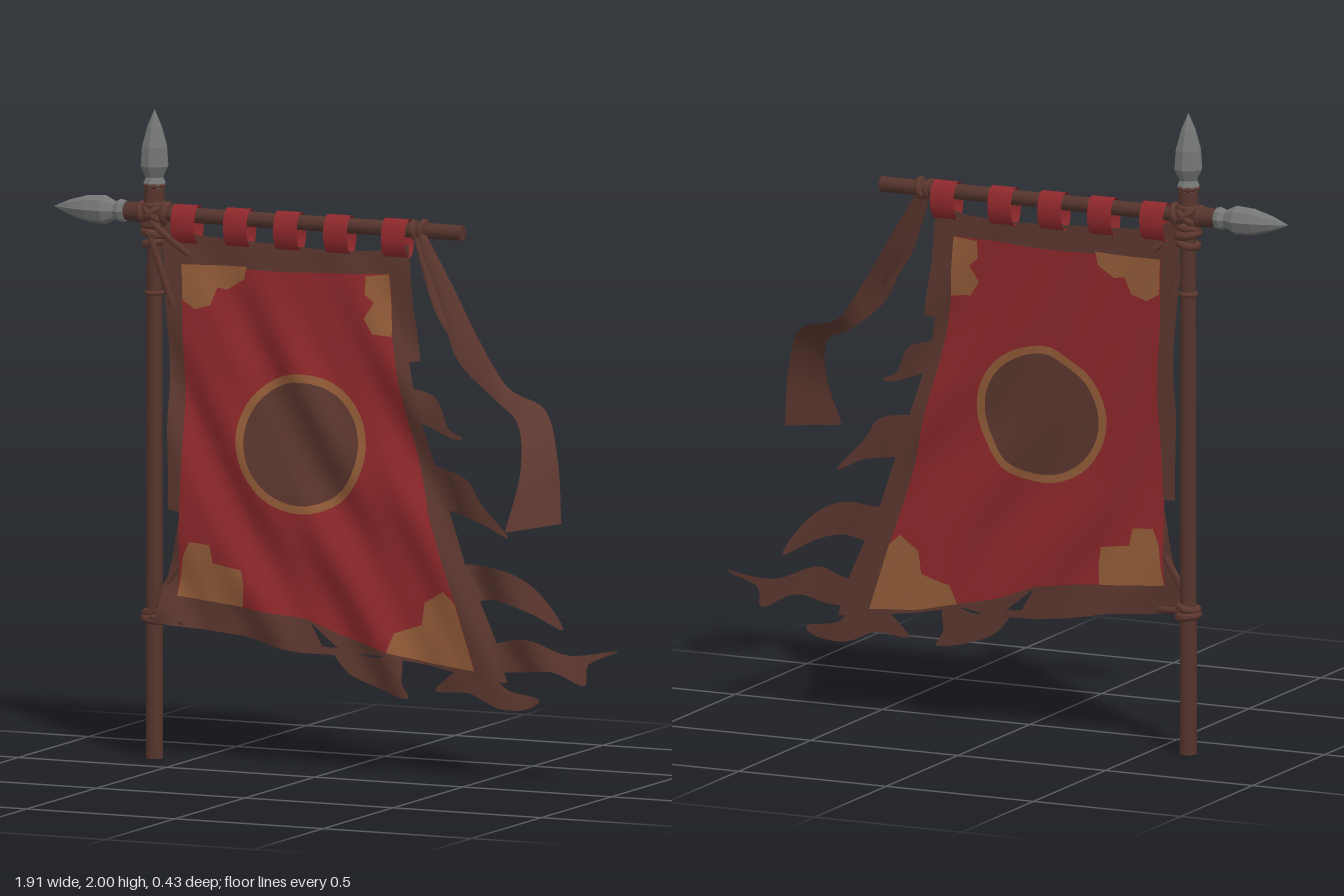
import * as THREE from 'three';
import { mergeVertices } from 'three/addons/utils/BufferGeometryUtils.js';

const mat = (name, color, side = THREE.FrontSide) => {
  const m = new THREE.MeshStandardMaterial({ color, side });
  m.name = name;
  return m;
};
const V3 = (p) => new THREE.Vector3(...p);
const POLE_X = -0.62, POLE_Z = -0.168, BAR_Y = 1.68;

// Depth of the hanging cloth: slanted folds that grow away from the bar, and curling tatters
function clothZ(x, y) {
  const h = Math.max(0, 1.65 - y);
  const grow = Math.min(1, h * 2.5);
  const u = 0.83 * x + 0.55 * y;
  const over = Math.max(0, x - 0.28 - Math.max(0, 1.25 - y) * 0.32);
  return -0.163 + 0.035 * Math.min(1, h * 1.2)
    + 0.012 * grow * Math.sin(23 * u + 0.9 * Math.sin(4 * (x - y)))
    + 0.005 * grow * Math.sin(37 * u + 5 * x)
    + 0.025 * Math.sin(over * 14);
}

// Cut a flat shape into small triangles and drape it on the cloth surface
function drape(shape, offset) {
  const flat = new THREE.ShapeGeometry(shape, 20).toNonIndexed().getAttribute('position');
  const stack = [], out = [];
  for (let i = 0; i < flat.count; i += 3) {
    stack.push([0, 1, 2].map((k) => [flat.getX(i + k), flat.getY(i + k)]));
  }
  const len = (p, q) => Math.hypot(p[0] - q[0], p[1] - q[1]);
  while (stack.length) {
    const t = stack.pop();
    const d = [0, 1, 2].map((k) => len(t[k], t[(k + 1) % 3]));
    const k = d.indexOf(Math.max(...d));
    if (d[k] < 0.033) {
      for (const [x, y] of t) out.push(x, y, clothZ(x, y) + offset);
      continue;
    }
    const a = t[k], b = t[(k + 1) % 3], c = t[(k + 2) % 3];
    const m = [(a[0] + b[0]) / 2, (a[1] + b[1]) / 2];
    stack.push([a, m, c], [m, b, c]);
  }
  let g = new THREE.BufferGeometry();
  g.setAttribute('position', new THREE.Float32BufferAttribute(out, 3));
  g = mergeVertices(g, 1e-5);
  g.computeVertexNormals();
  return g;
}

const polygon = (pts) => new THREE.Shape(pts.map((p) => new THREE.Vector2(...p)));
const curved = (pts) => new THREE.Shape(
  new THREE.SplineCurve(pts.map((p) => new THREE.Vector2(...p))).getPoints(pts.length * 4));
const ellipse = (x, y, rx, ry) => new THREE.Shape().absellipse(x, y, rx, ry, 0, Math.PI * 2);

// Strip of cloth spanned between two edge curves
function ribbon(left, right, n = 36) {
  const a = new THREE.CatmullRomCurve3(left.map(V3)), b = new THREE.CatmullRomCurve3(right.map(V3));
  const pos = [], idx = [];
  for (let i = 0; i <= n; i++) {
    const p = a.getPoint(i / n), q = b.getPoint(i / n);
    const m = p.clone().lerp(q, 0.5);
    m.z += 0.008;
    pos.push(...p, ...m, ...q);
    for (let j = 0; i < n && j < 2; j++) {
      const k = i * 3 + j;
      idx.push(k, k + 3, k + 1, k + 1, k + 3, k + 4);
    }
  }
  const g = new THREE.BufferGeometry();
  g.setAttribute('position', new THREE.Float32BufferAttribute(pos, 3));
  g.setIndex(idx);
  g.computeVertexNormals();
  return g;
}

export function createModel() {
  const group = new THREE.Group();
  const wood = mat('darkWood', 0x55342d);
  const brown = mat('brownCloth', 0x5c372f, THREE.DoubleSide);
  const red = mat('redCloth', 0x8e282b, THREE.DoubleSide);
  const gold = mat('ochreCloth', 0x935c38, THREE.DoubleSide);
  const steel = mat('greySteel', 0x747676);
  steel.flatShading = true;

  const add = (name, geometry, material, parent = group) => {
    const m = new THREE.Mesh(geometry, material);
    m.name = name;
    parent.add(m);
    return m;
  };
  const rod = (name, r0, r1, length, axis, x, y, material = wood) => {
    const g = new THREE.CylinderGeometry(r1, r0, length, 14);
    if (axis === 'x') g.rotateZ(Math.PI / 2);
    return add(name, g.translate(x, y, POLE_Z), material);
  };

  // Poles and their sockets
  rod('pole', 0.027, 0.024, 1.72, 'y', POLE_X, 0.86);
  rod('crossbar', 0.024, 0.023, 1.12, 'x', -0.14, BAR_Y);
  rod('topSocket', 0.034, 0.029, 0.06, 'y', POLE_X, 1.735);
  rod('sideSocket', 0.033, 0.028, 0.06, 'x', -0.685, BAR_Y);

  // Spearheads, one up and one to the side
  const profile = [[0, 0], [0.033, 0.002], [0.036, 0.018], [0.028, 0.035], [0.045, 0.07],
    [0.041, 0.13], [0.024, 0.19], [0, 0.245]].map((p) => new THREE.Vector2(...p));
  const spear = new THREE.LatheGeometry(profile, 8);
  add('topSpearhead', spear, steel).position.set(POLE_X, 1.755, POLE_Z);
  const side = add('sideSpearhead', spear, steel);
  side.position.set(-0.715, BAR_Y, POLE_Z);
  side.rotation.z = Math.PI / 2;

  // Cord wrappings: [x, y, ring radius, cord radius, axis, tilt]
  const wraps = [
    [POLE_X, 1.765, 0.027, 0.009, 'y', 0], [POLE_X, 1.705, 0.03, 0.01, 'y', 0.1],
    [POLE_X, 1.645, 0.029, 0.013, 'y', 0.15], [POLE_X, 1.62, 0.031, 0.014, 'y', -0.2],
    [POLE_X, 1.59, 0.029, 0.012, 'y', 0.2], [POLE_X, 1.435, 0.025, 0.007, 'y', 0],
    [POLE_X, 0.455, 0.029, 0.012, 'y', 0.2], [POLE_X, 0.43, 0.031, 0.013, 'y', -0.15],
    [-0.66, BAR_Y, 0.026, 0.01, 'x', 0.1], [-0.58, BAR_Y, 0.027, 0.012, 'x', -0.2],
    [POLE_X, BAR_Y, 0.036, 0.012, 'y', 0.75], [POLE_X, BAR_Y, 0.036, 0.012, 'y', -0.75],
    [0.26, BAR_Y, 0.025, 0.009, 'x', 0.2], [0.285, BAR_Y, 0.026, 0.011, 'x', -0.2],
  ];
  for (const [x, y, r, t, axis, tilt] of wraps) {
    const g = new THREE.TorusGeometry(r, t, 8, 18);
    if (axis === 'y') g.rotateX(Math.PI / 2); else g.rotateY(Math.PI / 2);
    add('cordWrap', g.rotateZ(tilt).translate(x, y, POLE_Z), brown);
  }

  // Red loops holding the cloth on the crossbar
  for (const x of [-0.51, -0.333, -0.164, 0.005, 0.2]) {
    const g = new THREE.CylinderGeometry(1, 1, 0.08, 20, 1, true).rotateZ(Math.PI / 2);
    add('hangingLoop', g.scale(1, 0.06, 0.035).translate(x, 1.652, POLE_Z), red);
  }

  // Brown cloth with a torn hole near the bottom
  const border = polygon([[-0.6, 1.68], [-0.53, 1.64], [-0.47, 1.62], [-0.23, 1.61], [0, 1.6],
    [0.14, 1.61], [0.24, 1.635], [0.257, 1.45], [0.283, 1.28], [0.25, 1.275], [0.27, 1.2],
    [0.34, 0.96], [0.44, 0.67], [0.55, 0.43], [0.59, 0.31], [0.53, 0.31], [0.325, 0.345],
    [0.167, 0.37], [0.02, 0.36], [-0.09, 0.36], [-0.18, 0.37], [-0.31, 0.4], [-0.595, 0.425],
    [-0.57, 0.535], [-0.51, 0.77], [-0.553, 0.775], [-0.558, 1.13], [-0.585, 1.55]]);
  border.holes.push(polygon([[-0.077, 0.455], [-0.035, 0.385], [0.02, 0.378]]));
  add('clothBorder', drape(border, 0), brown);

  // Tatters along the right and bottom edges
  const tatters = [
    [[0.255, 1.2], [0.35, 1.17], [0.395, 1.085], [0.447, 1.06], [0.41, 1.053], [0.28, 1.1]],
    [[0.32, 0.965], [0.457, 0.934], [0.51, 0.865], [0.606, 0.76], [0.51, 0.8], [0.37, 0.83]],
    [[0.42, 0.665], [0.59, 0.658], [0.695, 0.6], [0.775, 0.483], [0.67, 0.536], [0.56, 0.562], [0.47, 0.55]],
    [[0.52, 0.42], [0.67, 0.45], [0.8, 0.405], [0.95, 0.425], [0.855, 0.38], [0.845, 0.313],
      [0.75, 0.355], [0.64, 0.345], [0.55, 0.34]],
    [[0.53, 0.36], [0.59, 0.29], [0.7, 0.267], [0.655, 0.232], [0.56, 0.23], [0.46, 0.27], [0.34, 0.27], [0.45, 0.36]],
    [[0, 0.385], [0.12, 0.36], [0.23, 0.37], [0.24, 0.29], [0.262, 0.243], [0.17, 0.26], [0.06, 0.3], [0, 0.365]],
  ];
  for (const pts of tatters) add('tatter', drape(curved(pts), 0), brown);

  // Painted layers, laid on both faces of the cloth
  const paint = (name, shape, material, offset) => {
    for (const s of [1, -1]) add(name, drape(shape, s * offset), material);
  };
  paint('redField', polygon([[-0.52, 1.53], [-0.17, 1.525], [0.177, 1.54], [0.193, 1.35], [0.24, 1.13],
    [0.325, 0.81], [0.42, 0.546], [0.484, 0.34], [0.32, 0.355], [0.167, 0.385], [0.03, 0.42],
    [-0.087, 0.465], [-0.31, 0.49], [-0.526, 0.51], [-0.505, 0.97]]), red, 0.003);
  const corners = [
    [[-0.52, 1.53], [-0.3, 1.535], [-0.31, 1.495], [-0.37, 1.46], [-0.4, 1.465], [-0.42, 1.41], [-0.47, 1.395], [-0.515, 1.42]],
    [[0.1, 1.53], [0.177, 1.54], [0.193, 1.35], [0.13, 1.355], [0.1, 1.4], [0.13, 1.45], [0.1, 1.475]],
    [[-0.48, 0.68], [-0.41, 0.675], [-0.4, 0.62], [-0.3, 0.605], [-0.29, 0.55], [-0.3, 0.49], [-0.526, 0.51], [-0.505, 0.63]],
    [[0.38, 0.58], [0.42, 0.546], [0.484, 0.34], [0.32, 0.355], [0.19, 0.38], [0.21, 0.44], [0.3, 0.47], [0.31, 0.54]],
  ];
  for (const pts of corners) paint('cornerPatch', polygon(pts), gold, 0.006);
  const ring = ellipse(-0.106, 1.003, 0.218, 0.215);
  ring.holes.push(ellipse(-0.106, 1.003, 0.192, 0.19));
  paint('emblemRing', ring, gold, 0.006);
  paint('emblemDisc', ellipse(-0.106, 1.003, 0.194, 0.192), brown, 0.0055);

  // Long ribbon blown forward from the bar end, and a thin second strand
  add('ribbon', ribbon(
    [[0.27, 1.67, -0.14], [0.37, 1.46, -0.11], [0.45, 1.3, -0.07], [0.58, 1.19, -0.06], [0.7, 1.13, 0.03], [0.75, 1, 0.12], [0.74, 0.825, 0.21]],
    [[0.3, 1.68, -0.15], [0.41, 1.51, -0.13], [0.51, 1.36, -0.1], [0.61, 1.225, -0.09], [0.76, 1.17, -0.04], [0.83, 1.02, 0.02], [0.86, 0.84, 0.06]],
  ), brown);
  add('ribbonStrand', ribbon(
    [[0.265, 1.67, -0.14], [0.31, 1.55, -0.12], [0.36, 1.44, -0.1], [0.44, 1.33, -0.09]],
    [[0.285, 1.67, -0.15], [0.33, 1.56, -0.13], [0.39, 1.45, -0.12], [0.46, 1.35, -0.1]], 14,
  ), brown);

  // Straps tying the cloth corners to the pole
  for (const [y0, x1, y1] of [[1.66, -0.5, 1.56], [1.62, -0.55, 1.4], [0.44, -0.5, 0.43], [0.45, -0.53, 0.6]]) {
    const path = new THREE.CatmullRomCurve3([V3([POLE_X, y0, -0.135]),
      V3([(POLE_X + x1) / 2, (y0 + y1) / 2, -0.14]), V3([x1, y1, clothZ(x1, y1)])]);
    add('cornerStrap', new THREE.TubeGeometry(path, 8, 0.011, 6), brown);
  }
  return group;
}
